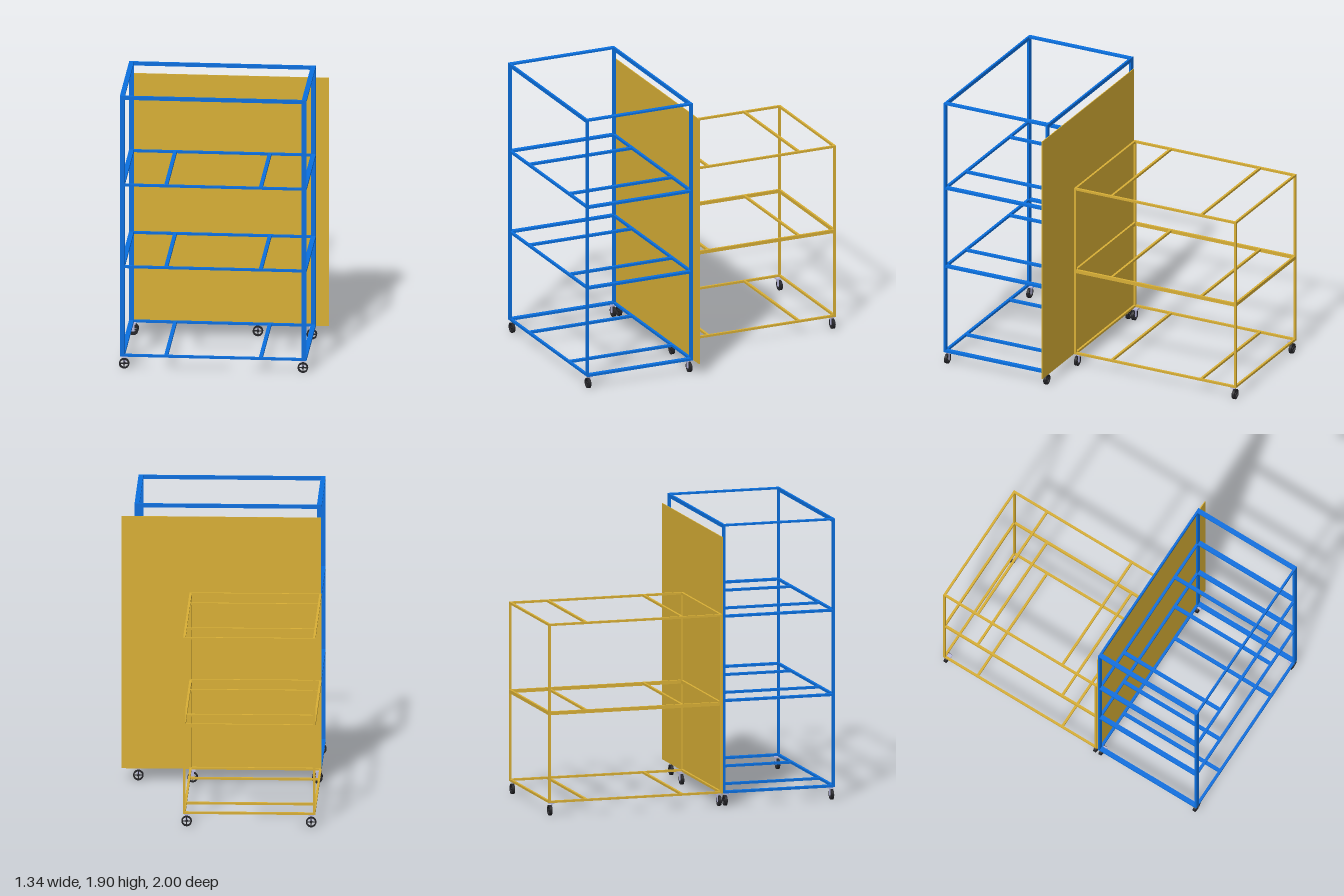
import * as THREE from 'three';

const blue = new THREE.MeshStandardMaterial({ color: 0x0a70e0 });
const ochre = new THREE.MeshStandardMaterial({ color: 0xd9b036 });
const dark = new THREE.MeshStandardMaterial({ color: 0x242428 });
const pale = new THREE.MeshStandardMaterial({ color: 0xb9b9de });

// Box given by its min and max on each axis
function bar(parent, name, material, [x0, x1], [y0, y1], [z0, z1]) {
  const mesh = new THREE.Mesh(new THREE.BoxGeometry(x1 - x0, y1 - y0, z1 - z0), material);
  mesh.position.set((x0 + x1) / 2, (y0 + y1) / 2, (z0 + z1) / 2);
  mesh.name = name;
  parent.add(mesh);
  return mesh;
}

// Spoked wheel on a bracket; inward is the z direction towards the frame's middle
function caster(x, z, inward) {
  const group = new THREE.Group();
  group.name = 'caster';
  const rim = new THREE.Shape().absarc(0, 0, 0.035, 0, Math.PI * 2);
  rim.holes.push(new THREE.Path().absarc(0, 0, 0.026, 0, Math.PI * 2, true));
  const tyre = new THREE.Mesh(
    new THREE.ExtrudeGeometry(rim, { depth: 0.018, bevelEnabled: false, curveSegments: 16 }), dark);
  tyre.name = 'tyre';
  tyre.position.set(0, 0.035, -0.009);
  group.add(tyre);
  for (let i = 0; i < 2; i++) {
    const spoke = bar(group, 'spoke', dark, [-0.028, 0.028], [0.032, 0.038], [-0.005, 0.005]);
    spoke.rotation.z = i * Math.PI / 2;
  }
  const hub = new THREE.Mesh(new THREE.CylinderGeometry(0.008, 0.008, 0.02, 12), dark);
  hub.name = 'hub';
  hub.rotation.x = Math.PI / 2;
  hub.position.y = 0.035;
  group.add(hub);
  // Fork leg, mounting plate and axle on the inner side
  const span = (a, b) => [Math.min(a * inward, b * inward), Math.max(a * inward, b * inward)];
  bar(group, 'forkLeg', pale, [-0.01, 0.01], [0.028, 0.082], span(0.01, 0.014));
  bar(group, 'mountingPlate', pale, [-0.018, 0.018], [0.078, 0.088], span(-0.008, 0.028));
  group.position.set(x, 0, z);
  return group;
}

// Tall rack: flat posts, four levels, crossbars running front to back
function tallRack() {
  const rack = new THREE.Group();
  rack.name = 'tallRack';
  const [x0, x1, z0, z1, top] = [-0.665, 0.582, 0.222, 1.0, 1.905];
  const w = 0.032, d = 0.014;
  for (const x of [x0, x1 - w])
    for (const z of [z0, z1 - d])
      bar(rack, 'tallPost', blue, [x, x + w], [0.087, top], [z, z + d]);
  // Top rim
  for (const z of [z0, z1 - d])
    bar(rack, 'topRail', blue, [x0 + w, x1 - w], [top - 0.026, top], [z, z + d]);
  for (const x of [x0, x1 - w])
    bar(rack, 'topSideRail', blue, [x, x + w], [top - 0.012, top], [z0 + d, z1 - d]);
  // Shelf levels
  for (const y of [0.094, 0.712, 1.283]) {
    const ys = [y - 0.008, y + 0.008];
    for (const z of [z0, z1 - 0.018])
      bar(rack, 'shelfRail', blue, [x0 + w, x1 - w], ys, [z, z + 0.018]);
    for (const x of [x0, x1 - w])
      bar(rack, 'shelfSideRail', blue, [x, x + w], ys, [z0 + d, z1 - d]);
    for (const x of [-0.357, 0.275])
      bar(rack, 'shelfCrossbar', blue, [x - 0.012, x + 0.012], ys, [z0 + 0.018, z1 - 0.018]);
  }
  for (const x of [-0.637, 0.557]) rack.add(caster(x, 0.24, 1), caster(x, 0.983, -1));
  return rack;
}

// Low rack: thin square tubes, three levels, crossbars running left to right
function lowRack() {
  const rack = new THREE.Group();
  rack.name = 'lowRack';
  const [x0, x1, z0, z1, t] = [-0.665, 0.215, -1.0, 0.212, 0.015];
  for (const x of [x0, x1 - t])
    for (const z of [z0, z1 - t])
      bar(rack, 'lowPost', ochre, [x, x + t], [0.087, 1.3], [z, z + t]);
  for (const [y, h] of [[0.087, 0.015], [0.682, 0.024], [1.285, 0.015]]) {
    const ys = [y, y + h];
    for (const x of [x0, x1 - t])
      bar(rack, 'lowSideRail', ochre, [x, x + t], ys, [z0 + t, z1 - t]);
    for (const z of [z0, z1 - t])
      bar(rack, 'lowEndRail', ochre, [x0 + t, x1 - t], ys, [z, z + t]);
    for (const z of [-0.733, -0.065])
      bar(rack, 'lowCrossbar', ochre, [x0 + t, x1 - t], [y + h - 0.015, y + h], [z - 0.008, z + 0.008]);
  }
  for (const x of [-0.637, 0.193]) rack.add(caster(x, -0.983, 1), caster(x, 0.198, -1));
  return rack;
}

export function createModel() {
  const model = new THREE.Group();
  model.name = 'rollingRacks';
  model.add(tallRack(), lowRack());
  // Thin panel standing between the two racks
  bar(model, 'backPanel', ochre, [-0.66, 0.67], [0.087, 1.82], [0.214, 0.22]);
  return model;
}
